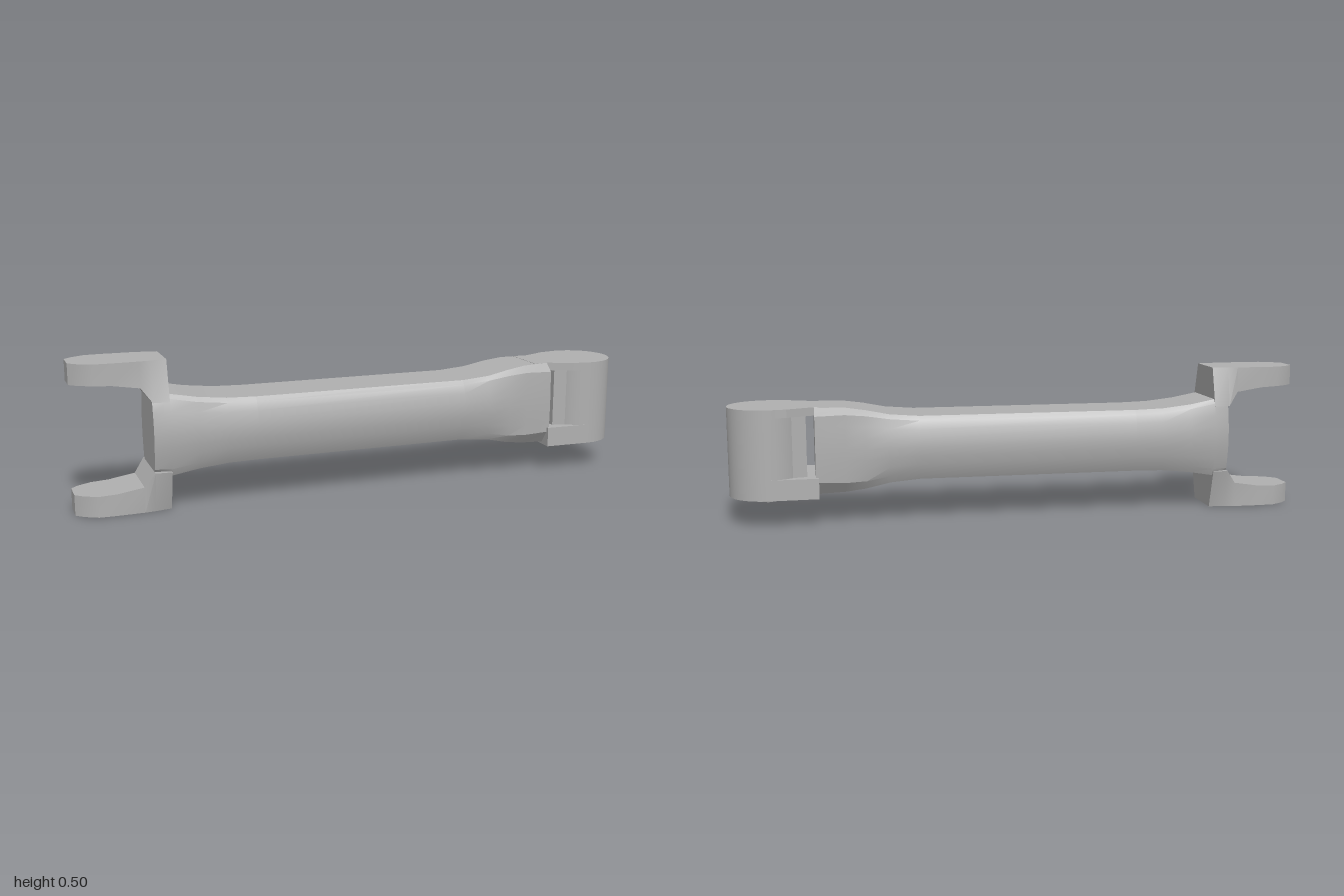
import * as THREE from 'three';
import { toCreasedNormals } from 'three/addons/utils/BufferGeometryUtils.js';

const MID = 0.2525; // height of the horizontal symmetry plane

// Skin rings along x. Each ring: { x, half: [[z, y], ...] } listed top to bottom, mirrored in z.
function loft(sections, crease = 0.4) {
  const rings = sections.map(({ x, half }) => [
    ...half.map(([z, y]) => [x, y, z]),
    ...[...half].reverse().map(([z, y]) => [x, y, -z]),
  ]);
  const out = [];
  const n = rings[0].length;
  const center = (r) => [0, 1, 2].map((k) => r.reduce((s, p) => s + p[k], 0) / n);
  const first = rings[0];
  const last = rings[rings.length - 1];
  const c0 = center(first);
  const c1 = center(last);
  for (let i = 0; i < n; i++) {
    const j = (i + 1) % n;
    for (let s = 0; s < rings.length - 1; s++) {
      const a = rings[s];
      const b = rings[s + 1];
      out.push(...a[i], ...a[j], ...b[i], ...a[j], ...b[j], ...b[i]);
    }
    out.push(...c0, ...first[j], ...first[i], ...c1, ...last[i], ...last[j]);
  }
  const g = new THREE.BufferGeometry();
  g.setAttribute('position', new THREE.Float32BufferAttribute(out, 3));
  return toCreasedNormals(g, crease);
}

// Shaft cross-section: flat top and bottom, small bevels, bulging sides
function shaftSection(x, bottom, top, flat, edge, side, bevel = 0.015) {
  const hi = top - bevel;
  const lo = bottom + bevel * 1.6;
  const half = [[flat, top]];
  for (let i = 0; i <= 6; i++) {
    const t = i / 6;
    half.push([edge + (side - edge) * Math.sin(Math.PI * t), hi + (lo - hi) * t]);
  }
  half.push([flat, bottom]);
  return { x, half };
}

// Horizontal plate from a plan outline in x and z
function plate(points, y0, y1) {
  const shape = new THREE.Shape(points.map(([x, z]) => new THREE.Vector2(x, z)));
  const g = new THREE.ExtrudeGeometry(shape, { depth: y1 - y0, bevelEnabled: false });
  g.rotateX(-Math.PI / 2);
  g.translate(0, y0, 0);
  return g;
}

export function createModel() {
  const model = new THREE.Group();
  model.name = 'linkArm';
  const metal = new THREE.MeshStandardMaterial({ color: 0xb0b0b0 });
  metal.name = 'grey metal';
  const add = (name, geometry, parent = model) => {
    const mesh = new THREE.Mesh(geometry, metal);
    mesh.name = name;
    parent.add(mesh);
    return mesh;
  };

  // Shaft, flaring at both ends
  add('shaft', loft([
    shaftSection(-0.745, 0.12, 0.385, 0.075, 0.095, 0.11),
    shaftSection(-0.69, 0.12, 0.395, 0.1, 0.11, 0.13),
    shaftSection(-0.6, 0.135, 0.378, 0.1, 0.112, 0.13),
    shaftSection(-0.5, 0.145, 0.367, 0.1, 0.112, 0.13),
    shaftSection(-0.4, 0.147, 0.364, 0.1, 0.112, 0.13),
    shaftSection(0.36, 0.147, 0.364, 0.1, 0.112, 0.13),
    shaftSection(0.46, 0.138, 0.372, 0.1, 0.112, 0.13),
    shaftSection(0.54, 0.12, 0.388, 0.098, 0.118, 0.128, 0.018),
    shaftSection(0.61, 0.11, 0.398, 0.092, 0.118, 0.122, 0.022),
    shaftSection(0.71, 0.103, 0.4, 0.08, 0.112, 0.115, 0.028),
  ]));

  // Fork: one prong, turned over for the lower one
  const prongRows = [ // x, underside y, half width at top, half width at underside
    [-1, 0.435, 0.04, 0.04],
    [-0.975, 0.435, 0.065, 0.065],
    [-0.93, 0.435, 0.09, 0.09],
    [-0.87, 0.432, 0.092, 0.092],
    [-0.78, 0.418, 0.09, 0.093],
    [-0.745, 0.37, 0.086, 0.11],
    [-0.69, 0.37, 0.076, 0.113],
  ];
  const prongGeometry = loft(prongRows.map(([x, under, wt, wb]) => ({
    x, half: [[wt, 0.505], [wb, under]],
  })), 0.5);
  prongGeometry.translate(0, -MID, 0);
  const fork = new THREE.Group();
  fork.name = 'fork';
  model.add(fork);
  for (const [name, turn] of [['upperProng', 0], ['lowerProng', Math.PI]]) {
    const prong = add(name, prongGeometry, fork);
    prong.position.y = MID;
    prong.rotation.x = turn;
  }

  // Pivot boss at the other end
  const boss = new THREE.CylinderGeometry(0.13, 0.13, 0.305, 32);
  boss.translate(0.87, 0.2475, 0);
  add('pivotBoss', boss);

  // Tapered web behind the boss, leaving a slot next to the shaft
  add('bossWeb', plate(
    [[0.738, -0.088], [0.87, -0.115], [0.87, 0.115], [0.738, 0.088]], 0.13, 0.39));

  // Plates bridging the slot above and below
  add('upperBridge', plate(
    [[0.66, -0.085], [0.71, -0.08], [0.8, -0.12], [0.87, -0.13],
      [0.87, 0.13], [0.8, 0.12], [0.71, 0.08], [0.66, 0.085]], 0.372, 0.4));
  add('lowerBridge', plate(
    [[0.7, -0.125], [0.87, -0.13], [0.87, 0.13], [0.7, 0.125]], 0.095, 0.165));

  // Hollow hexagonal nipple under the boss
  const nipple = new THREE.LatheGeometry([
    [0.014, 0.097], [0.014, 0.069], [0.024, 0.069], [0.03, 0.097],
  ].map(([r, y]) => new THREE.Vector2(r, y)), 6);
  nipple.translate(0.87, 0, 0);
  add('hexNipple', toCreasedNormals(nipple, 0.3));

  return model;
}
